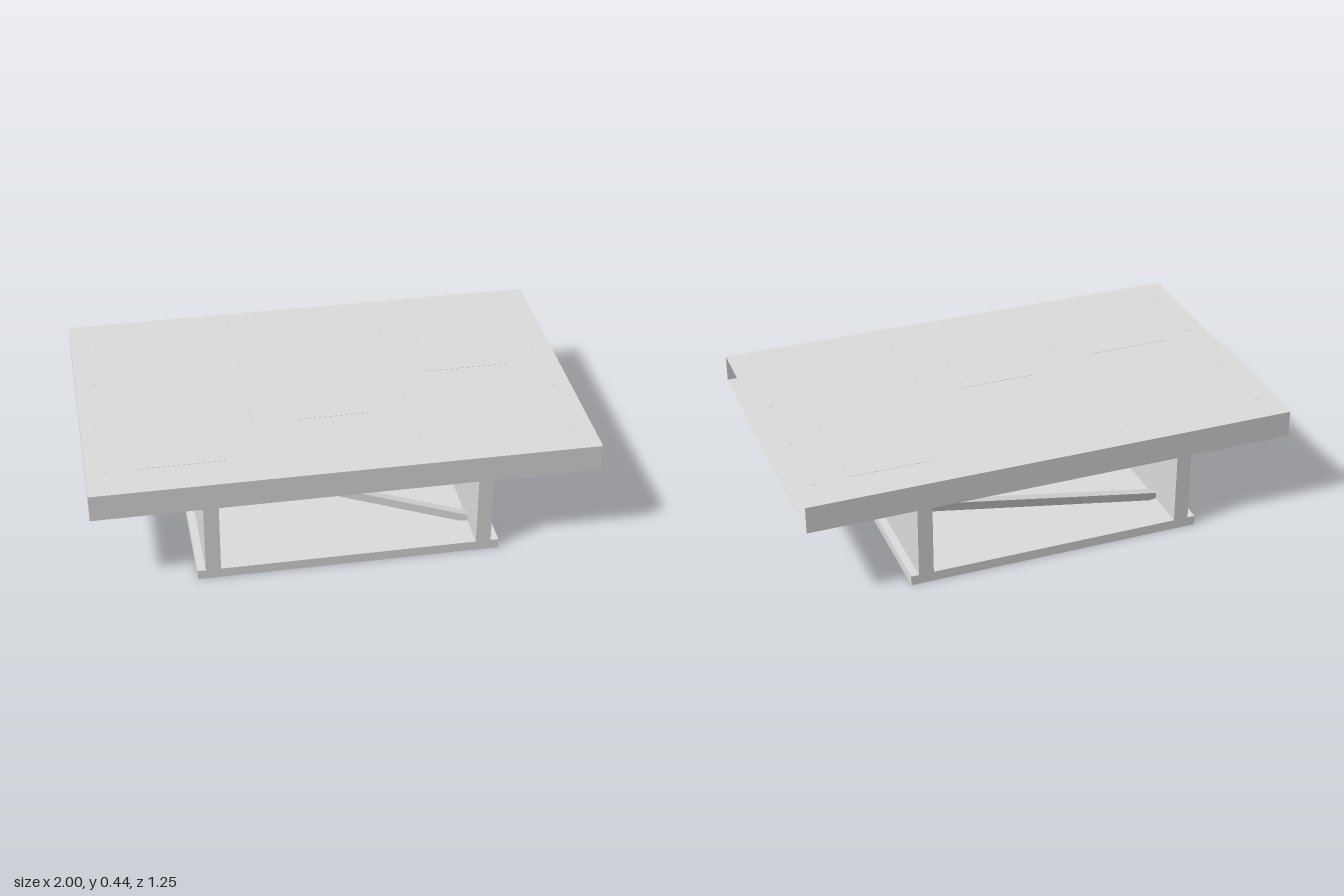
import * as THREE from 'three';

export function createModel() {
  const model = new THREE.Group();
  model.name = 'bridgeSection';
  const concrete = new THREE.MeshStandardMaterial({ color: 0xdddddd, side: THREE.DoubleSide });
  concrete.name = 'concrete grey';

  const DEPTH = 1.25;
  function add(name, geometry, x, y, z) {
    const mesh = new THREE.Mesh(geometry, concrete);
    mesh.name = name;
    mesh.position.set(x, y, z);
    model.add(mesh);
    return mesh;
  }
  const box = (name, w, h, d, x, y, z) => add(name, new THREE.BoxGeometry(w, h, d), x, y, z);

  // Hollow deck, open at its +x end (the first six indices are the +x face)
  const deck = new THREE.BoxGeometry(2, 0.111, DEPTH);
  deck.setIndex(Array.from(deck.index.array).slice(6));
  deck.clearGroups();
  add('deck', deck, 0, 0.3885, 0);

  // Girder: bottom slab and two webs
  box('bottomSlab', 1.204, 0.04, DEPTH, 0, 0.02, 0);
  for (const side of [-1, 1]) {
    box('web', 0.06, 0.293, DEPTH, side * 0.54, 0.1865, 0);
  }

  // Diagonal braces, alternating in direction and slanting back as they rise
  [0.39, 0.077, -0.2, -0.51].forEach((z, i) => {
    const rise = i % 2 ? 1 : -1;
    const brace = box('brace', 1.06, 0.034, 0.034, 0, 0.185, z);
    brace.geometry.applyMatrix4(new THREE.Matrix4().makeShear(0, -rise * 0.145, 0, 0, 0, 0));
    brace.rotation.z = rise * 0.261;
  });

  // Thin surface patches: x, z, width, depth
  for (const [x, z, w, d] of [[-0.63, 0.29, 0.34, 0.37], [0, 0.13, 0.3, 0.22], [0.62, -0.25, 0.34, 0.45]]) {
    box('surfacePatch', w, 0.001, d, x, 0.4445, z);
  }

  // Lane joints and edge drains
  for (const side of [-1, 1]) {
    box('laneJoint', 0.01, 0.001, DEPTH, side * 0.315, 0.4445, 0);
    for (const z of [-0.47, -0.16, 0.16, 0.47]) {
      box('drain', 0.02, 0.001, 0.02, side * 0.93, 0.4445, z);
    }
  }
  return model;
}
